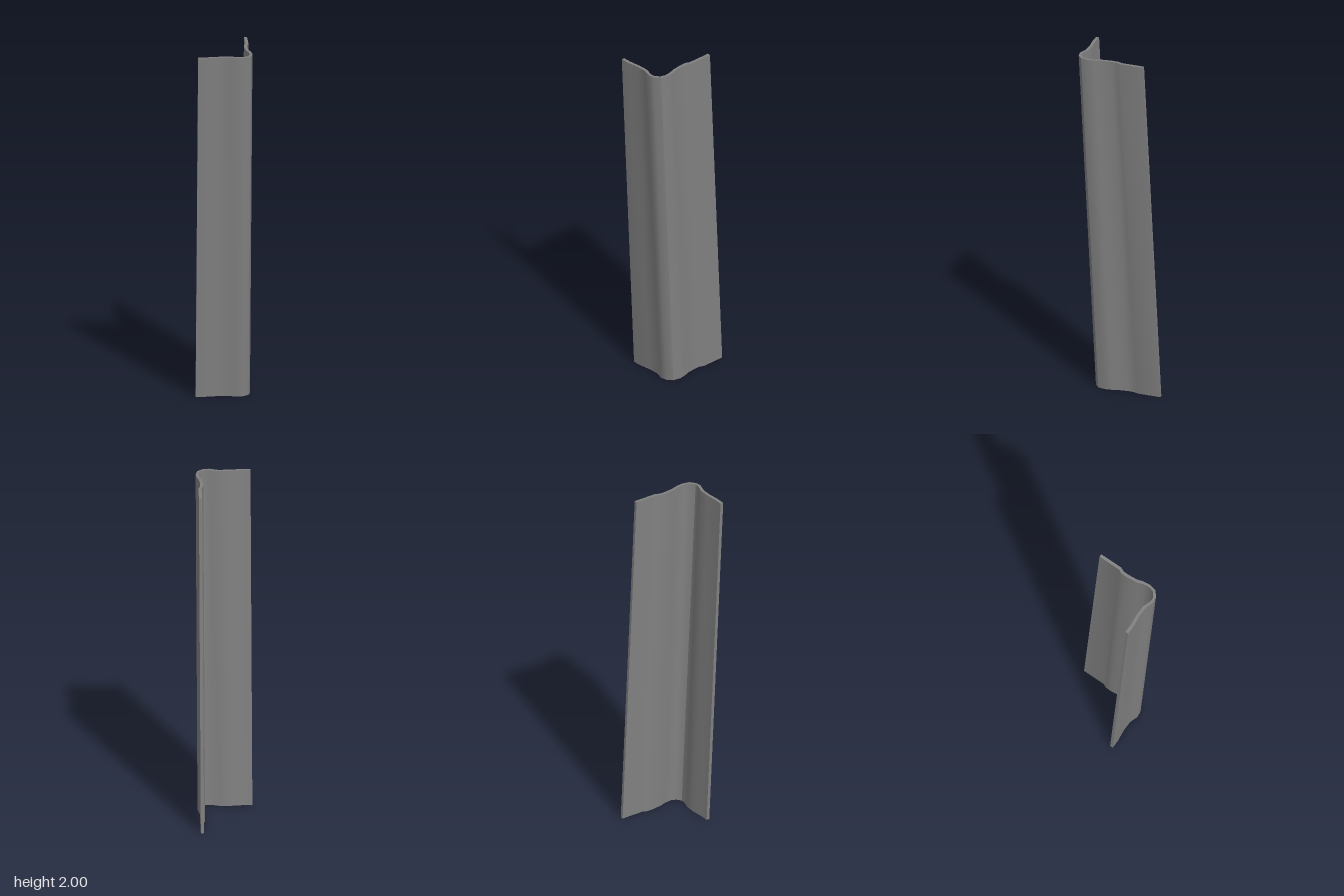
import * as THREE from 'three';
import { toCreasedNormals } from 'three/addons/utils/BufferGeometryUtils.js';

export function createModel() {
  const group = new THREE.Group();
  group.name = 'angleStrip';
  const steel = new THREE.MeshStandardMaterial({ color: 0x808080 });
  steel.name = 'grey steel';

  // Cross-section at the top end, as [x, z]: outer face, then inner face back
  const outer = [
    [-0.15, 0.242], [-0.1, 0.242], [-0.03, 0.233], [0.03, 0.233], [0.08, 0.249],
    [0.115, 0.244], [0.147, 0.218], [0.157, 0.175], [0.152, 0.135], [0.14, 0.095],
    [0.135, 0.04], [0.136, 0.01], [0.147, -0.017], [0.147, -0.152],
  ];
  const inner = [
    [0.129, -0.152], [0.129, -0.017], [0.119, 0.005], [0.118, 0.04], [0.126, 0.108],
    [0.138, 0.143], [0.142, 0.185], [0.132, 0.212], [0.105, 0.232], [0.077, 0.232],
    [0.03, 0.216], [-0.03, 0.216], [-0.1, 0.224], [-0.15, 0.224],
  ];
  const shape = new THREE.Shape([...outer, ...inner].map(([x, z]) => new THREE.Vector2(x, -z)));

  // Extrude upwards, then lean the strip so its foot sits further back
  const geometry = new THREE.ExtrudeGeometry(shape, { depth: 2, bevelEnabled: false });
  geometry.rotateX(-Math.PI / 2);
  const p = geometry.attributes.position;
  for (let i = 0; i < p.count; i++) {
    const drop = 1 - p.getY(i) / 2;
    p.setX(i, p.getX(i) - 0.008 * drop);
    p.setZ(i, p.getZ(i) - 0.1 * drop);
  }

  const strip = new THREE.Mesh(toCreasedNormals(geometry, 0.6), steel);
  strip.name = 'bentStrip';
  group.add(strip);
  return group;
}
